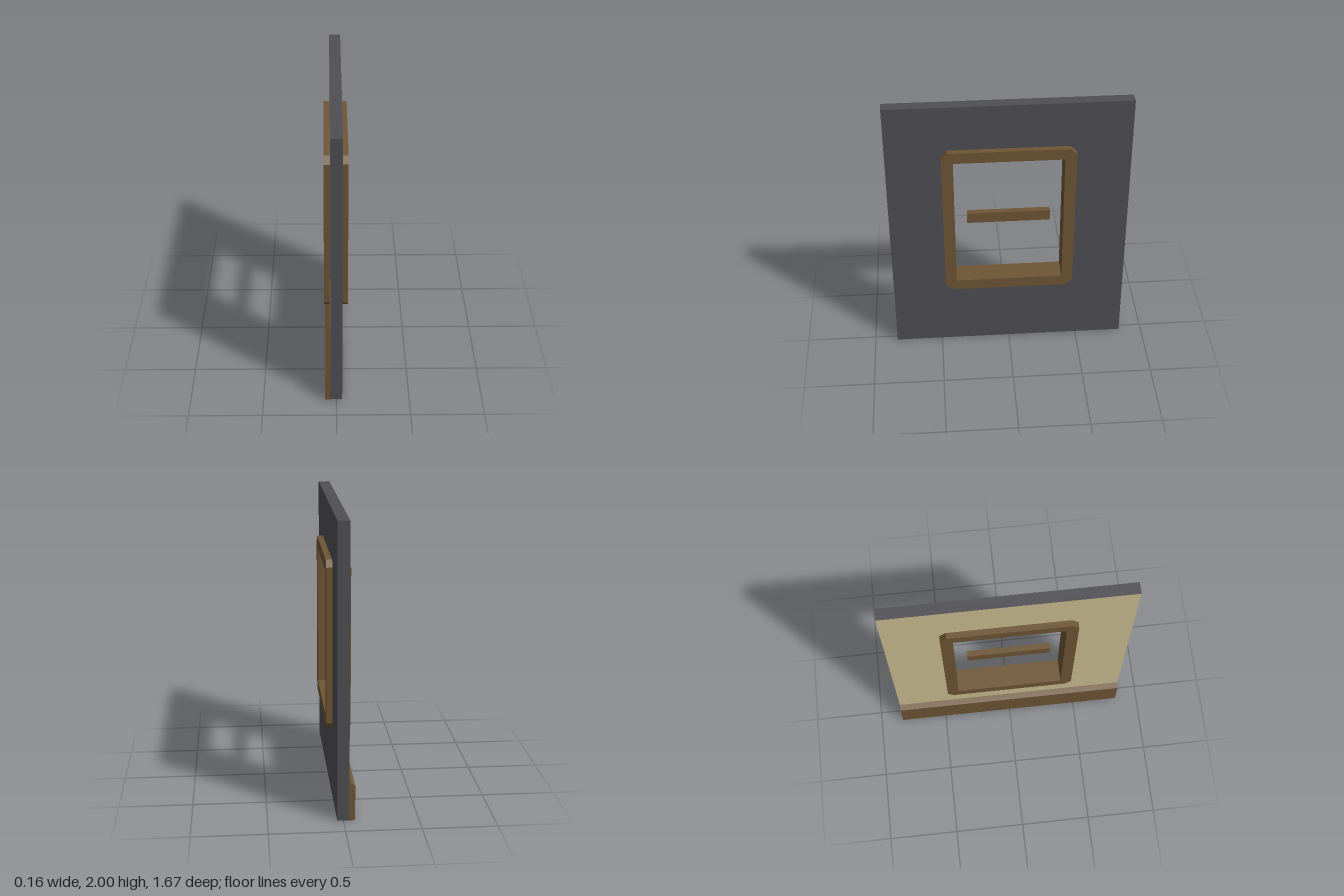
import * as THREE from 'three';

const DEPTH = 1.67;   // wall length along z
const HEIGHT = 2;
const HALF = 0.04;    // half of the wall thickness
const WIN_Y = 1.085;  // window centre height

const flat = (color, name) => {
  const m = new THREE.MeshStandardMaterial({ color, side: THREE.DoubleSide });
  m.name = name;
  return m;
};

function addMesh(parent, name, geometry, material) {
  const mesh = new THREE.Mesh(geometry, material);
  mesh.name = name;
  parent.add(mesh);
  return mesh;
}

// Rectangle outline centred on (0, cy), with optional cut corners
function outline(Type, w, h, cy, cut = 0) {
  const a = w / 2, b = h / 2;
  const pts = [
    [a - cut, -b], [a, -b + cut], [a, b - cut], [a - cut, b],
    [-a + cut, b], [-a, b - cut], [-a, -b + cut], [-a + cut, -b],
  ].map(([x, y]) => new THREE.Vector2(x, y + cy));
  return new Type(cut ? pts : [pts[0], pts[2], pts[4], pts[6]]);
}

export function createModel() {
  const model = new THREE.Group();
  model.name = 'windowWall';
  const grey = flat(0x504f54, 'wallGrey');
  const cream = flat(0xcdbf93, 'plasterCream');
  const wood = flat(0x6f5635, 'woodBrown');

  // Wall shell, open underneath: two pierced faces, two ends and a top
  const wall = new THREE.Group();
  wall.name = 'wall';
  model.add(wall);
  const face = outline(THREE.Shape, DEPTH, HEIGHT, HEIGHT / 2);
  face.holes.push(outline(THREE.Path, 0.83, 1.08, WIN_Y));
  for (const s of [1, -1]) {
    const side = new THREE.ShapeGeometry(face).rotateY(s * Math.PI / 2).translate(s * HALF, 0, 0);
    addMesh(wall, s > 0 ? 'outerFace' : 'innerFace', side, s > 0 ? grey : cream);
    const end = new THREE.PlaneGeometry(2 * HALF, HEIGHT)
      .rotateY(s > 0 ? 0 : Math.PI).translate(0, HEIGHT / 2, s * DEPTH / 2);
    addMesh(wall, s > 0 ? 'frontEnd' : 'backEnd', end, grey);
  }
  addMesh(wall, 'wallTop',
    new THREE.PlaneGeometry(2 * HALF, DEPTH).rotateX(-Math.PI / 2).translate(0, HEIGHT, 0), grey);

  // Window frame with cut corners, passing right through the wall
  const frame = outline(THREE.Shape, 0.916, 1.168, WIN_Y, 0.044);
  frame.holes.push(outline(THREE.Path, 0.756, 1.006, WIN_Y));
  const frameGeo = new THREE.ExtrudeGeometry(frame, { depth: 0.164, bevelEnabled: false })
    .translate(0, 0, -0.082).rotateY(Math.PI / 2);
  addMesh(model, 'windowFrame', frameGeo, wood);

  // Crossbar floating in the opening
  addMesh(model, 'windowBar', new THREE.BoxGeometry(0.042, 0.08, 0.58), wood).position.set(0, WIN_Y + 0.003, 0);

  // Skirting board on the inner side: outer face, sloped top and two ends
  const skirting = new THREE.Group();
  skirting.name = 'skirtingBoard';
  model.add(skirting);
  const X = -0.078, Y = 0.245, TOP = 0.272;
  addMesh(skirting, 'skirtingFace',
    new THREE.PlaneGeometry(DEPTH, Y).rotateY(-Math.PI / 2).translate(X, Y / 2, 0), wood);
  const run = -HALF - X, rise = TOP - Y;
  addMesh(skirting, 'skirtingSlope',
    new THREE.PlaneGeometry(DEPTH, Math.hypot(run, rise)).rotateX(-Math.atan2(run, rise))
      .rotateY(-Math.PI / 2).translate(X + run / 2, Y + rise / 2, 0), wood);
  const profile = new THREE.Shape([
    new THREE.Vector2(X, 0), new THREE.Vector2(-HALF, 0),
    new THREE.Vector2(-HALF, TOP), new THREE.Vector2(X, Y),
  ]);
  for (const s of [1, -1]) {
    const end = new THREE.ShapeGeometry(profile);
    if (s < 0) end.rotateY(Math.PI).scale(-1, 1, 1); // mirrored for the far end
    end.translate(0, 0, s * DEPTH / 2);
    addMesh(skirting, 'skirtingEnd', end, wood);
  }

  return model;
}
